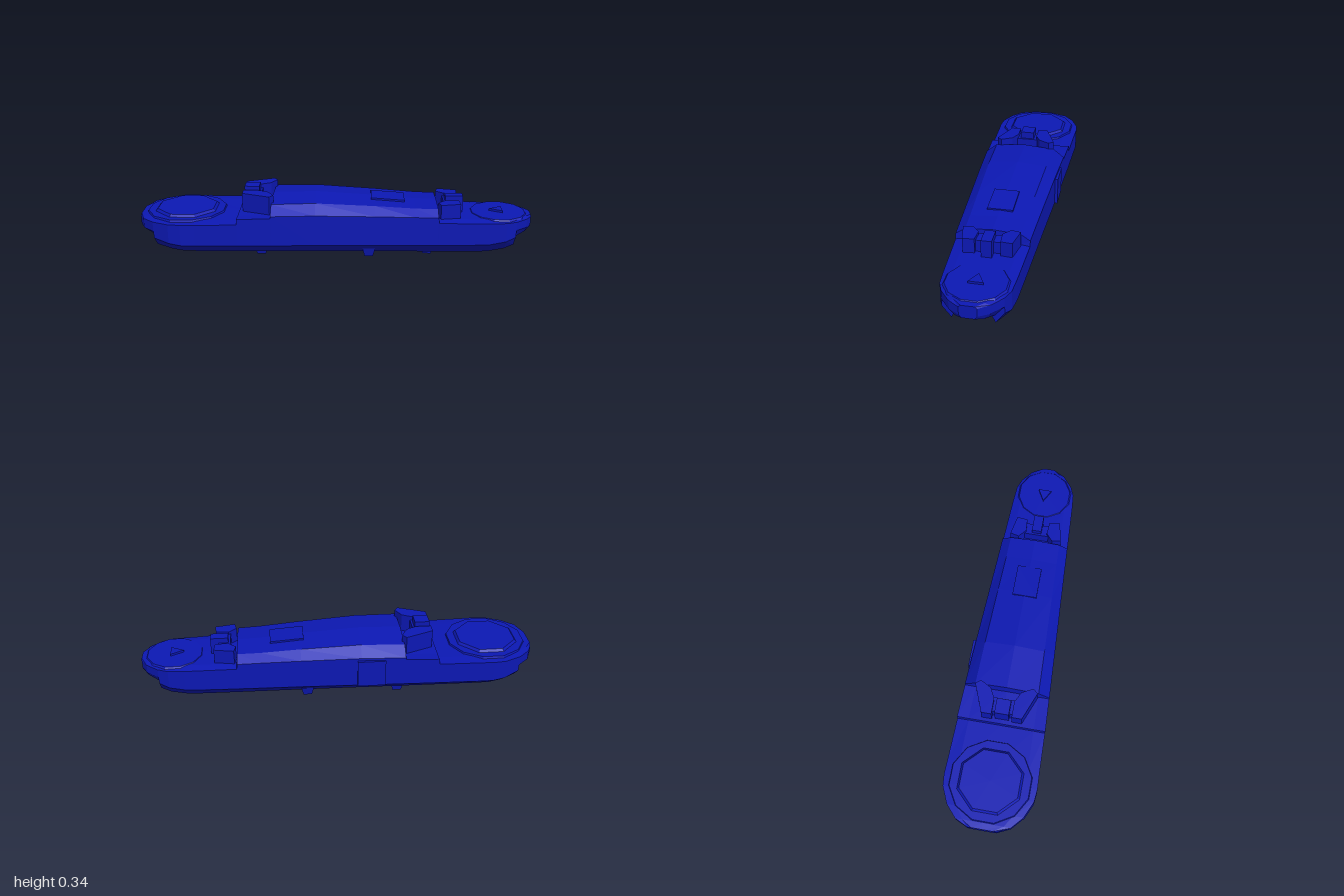
import * as THREE from 'three';

const material = new THREE.MeshStandardMaterial({ color: 0x0c18b4, flatShading: true, side: THREE.DoubleSide });

function add(group, name, geometry) {
  const mesh = new THREE.Mesh(geometry, material);
  mesh.name = name;
  group.add(mesh);
  return mesh;
}

// Axis-aligned box given by its limits
function box(group, name, x0, x1, y0, y1, z0, z1) {
  add(group, name, new THREE.BoxGeometry(x1 - x0, y1 - y0, z1 - z0))
    .position.set((x0 + x1) / 2, (y0 + y1) / 2, (z0 + z1) / 2);
}

// Upright prism over a plan outline of [x, z] points
function prism(group, name, outline, y0, y1, side = 1) {
  const shape = new THREE.Shape(outline.map(([x, z]) => new THREE.Vector2(x, -z * side)));
  const geometry = new THREE.ExtrudeGeometry(shape, { depth: y1 - y0, bevelEnabled: false });
  geometry.rotateX(-Math.PI / 2).translate(0, y0, 0);
  add(group, name, geometry);
}

// Low faceted disc
function disc(group, name, x, rTop, rBottom, y0, y1, sides) {
  const geometry = new THREE.CylinderGeometry(rTop, rBottom, y1 - y0, sides);
  geometry.rotateY(Math.PI / sides);
  add(group, name, geometry).position.set(x, (y0 + y1) / 2, 0);
}

// Hull lofted along x: x, half width, top, shoulder, bottom, middle of the bottom
const stations = [
  [-1, 0.07, 0.2, 0.19, 0.14, 0.14],
  [-0.97, 0.135, 0.205, 0.2, 0.13, 0.135],
  [-0.912, 0.187, 0.207, 0.2, 0.11, 0.13],
  [-0.91, 0.188, 0.207, 0.2, 0.06, 0.13],
  [-0.83, 0.224, 0.207, 0.2, 0.045, 0.125],
  [-0.77, 0.23, 0.207, 0.2, 0.036, 0.07],
  [-0.7, 0.227, 0.207, 0.2, 0.034, 0.034],
  [-0.49, 0.221, 0.205, 0.2, 0.034, 0.034],
  [-0.488, 0.221, 0.232, 0.23, 0.034, 0.034],
  [-0.322, 0.214, 0.235, 0.232, 0.033, 0.033],
  [-0.32, 0.214, 0.3, 0.243, 0.033, 0.033],
  [-0.1, 0.204, 0.306, 0.245, 0.032, 0.032],
  [0.2, 0.19, 0.288, 0.238, 0.03, 0.03],
  [0.4, 0.181, 0.272, 0.232, 0.028, 0.028],
  [0.515, 0.176, 0.268, 0.228, 0.027, 0.027],
  [0.52, 0.176, 0.208, 0.2, 0.027, 0.027],
  [0.74, 0.166, 0.204, 0.195, 0.026, 0.026],
  [0.78, 0.164, 0.204, 0.195, 0.028, 0.115],
  [0.86, 0.158, 0.204, 0.195, 0.042, 0.125],
  [0.91, 0.138, 0.204, 0.195, 0.058, 0.13],
  [0.912, 0.137, 0.204, 0.195, 0.1, 0.13],
  [0.97, 0.09, 0.203, 0.195, 0.12, 0.135],
  [1, 0.04, 0.2, 0.19, 0.135, 0.135],
];

function hullGeometry() {
  const rings = stations.map(([x, w, top, shoulder, bottom, middle]) => {
    const half = [
      [0, top], [0.74 * w, top - 0.13 * (top - 0.2)], [w, shoulder],
      [w, Math.min(bottom + 0.055, 0.15)], [0.7 * w, bottom], [0.46 * w, middle], [0, middle],
    ];
    const other = half.slice(1, -1).reverse().map(([z, y]) => [-z, y]);
    return [...half, ...other].map(([z, y]) => [x, y, z]);
  });
  const n = rings[0].length, points = [];
  for (let i = 0; i < rings.length - 1; i++) {
    for (let j = 0; j < n; j++) {
      const k = (j + 1) % n;
      const a = rings[i][j], b = rings[i][k], c = rings[i + 1][k], d = rings[i + 1][j];
      points.push(...a, ...b, ...c, ...a, ...c, ...d);
    }
  }
  // End caps
  const first = rings[0], last = rings[rings.length - 1];
  for (let j = 1; j < n - 1; j++) {
    points.push(...first[0], ...first[j + 1], ...first[j]);
    points.push(...last[0], ...last[j], ...last[j + 1]);
  }
  const geometry = new THREE.BufferGeometry();
  geometry.setAttribute('position', new THREE.Float32BufferAttribute(points, 3));
  geometry.computeVertexNormals();
  return geometry;
}

export function createModel() {
  const model = new THREE.Group();
  model.name = 'hull assembly';
  add(model, 'hull', hullGeometry());

  // Round deck plates
  disc(model, 'largeDeckRing', -0.77, 0.2, 0.205, 0.2, 0.214, 12);
  disc(model, 'largeDeckDisc', -0.77, 0.155, 0.17, 0.21, 0.226, 8);
  disc(model, 'smallDeckDisc', 0.835, 0.14, 0.15, 0.195, 0.207, 12);
  prism(model, 'deckPointer', [[0.79, 0], [0.855, 0.035], [0.855, -0.035]], 0.2, 0.218);

  // Clamps at both ends of the raised body
  for (const side of [1, -1]) {
    prism(model, 'largeClampArm',
      [[-0.47, 0.05], [-0.47, 0.1], [-0.33, 0.155], [-0.31, 0.13], [-0.34, 0.075], [-0.39, 0.05]], 0.21, 0.325, side);
    prism(model, 'smallClampArm',
      [[0.52, 0.09], [0.53, 0.135], [0.63, 0.115], [0.625, 0.06], [0.56, 0.055]], 0.19, 0.28, side);
  }
  box(model, 'largeClampBeam', -0.45, -0.38, 0.22, 0.305, -0.07, 0.07);
  box(model, 'largeClampLatch', -0.465, -0.39, 0.22, 0.341, -0.035, 0.035);
  box(model, 'smallClampBeam', 0.55, 0.61, 0.19, 0.265, -0.07, 0.07);
  box(model, 'smallClampLatch', 0.56, 0.65, 0.19, 0.292, -0.025, 0.025);

  // Hatch on the sloping top
  const hatch = new THREE.BoxGeometry(0.17, 0.012, 0.125);
  const hatchMesh = add(model, 'topHatch', hatch);
  hatchMesh.position.set(0.265, 0.281, 0);
  hatchMesh.rotation.z = -0.07;

  // Panel on the back side
  box(model, 'sidePanel', -0.22, -0.08, 0.09, 0.232, -0.218, -0.18);

  // Underside rib and feet
  box(model, 'undersideRib', -0.25, 0.28, 0.022, 0.04, -0.03, 0.03);
  const feet = [[-0.375, 0.13, 0.018], [-0.29, -0.13, 0.01], [0.17, 0.13, 0.01], [0.17, -0.13, 0.01],
    [0.47, 0.065, 0], [0.545, -0.05, 0], [-0.67, -0.05, 0.025]];
  for (const [x, z, y] of feet) {
    const foot = new THREE.CylinderGeometry(0.045, 0.03, 0.055 - y, 4);
    foot.rotateY(Math.PI / 4);
    add(model, 'foot', foot).position.set(x, (0.055 + y) / 2, z);
  }
  return model;
}
